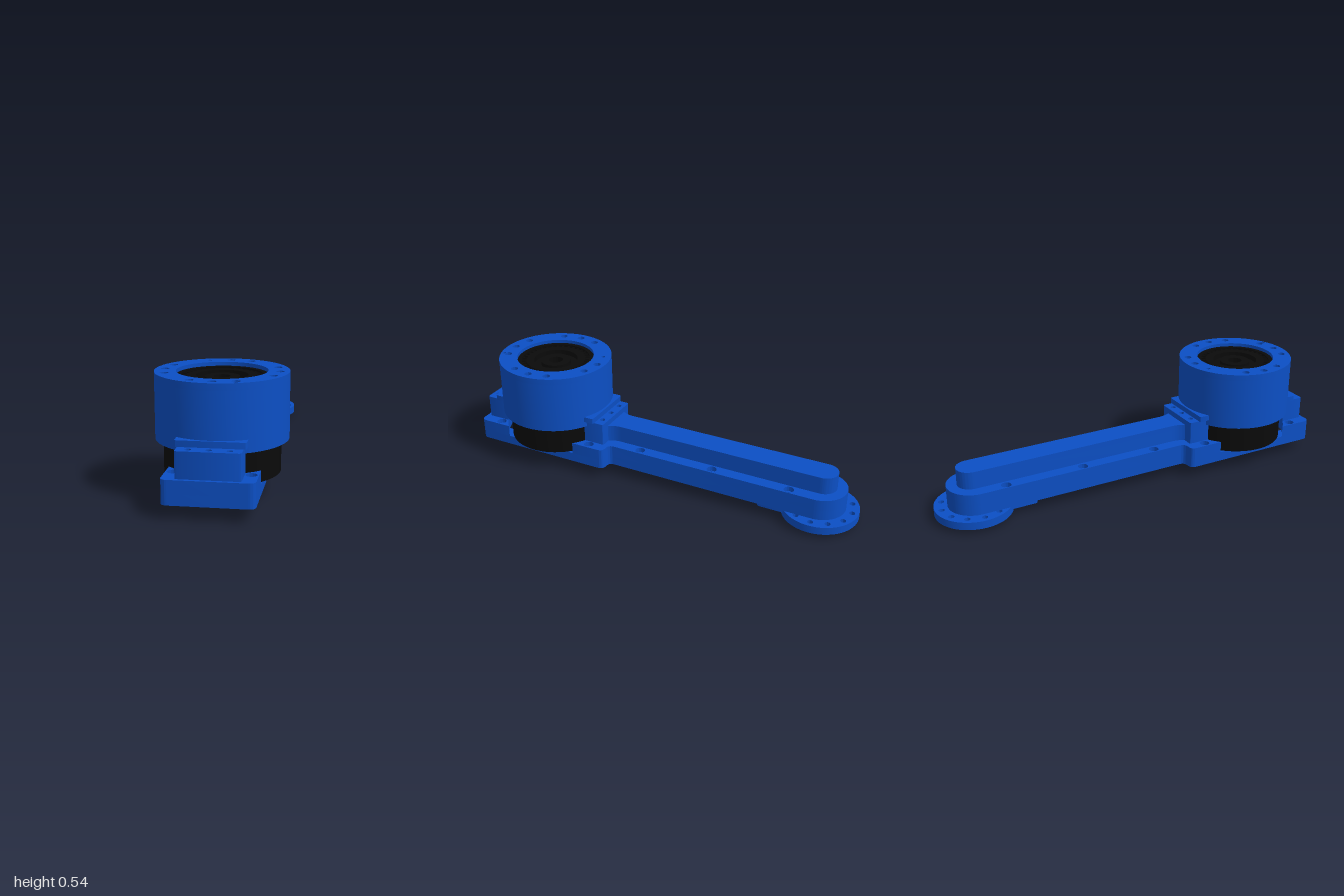
import * as THREE from 'three';
import { toCreasedNormals } from 'three/addons/utils/BufferGeometryUtils.js';

const blue = new THREE.MeshStandardMaterial({ color: 0x0c4fc4 });
const black = new THREE.MeshStandardMaterial({ color: 0x0a0a0a });
const MZ = 0.63;   // motor axis
const EZ = -0.815; // output axis
const CUT = 0.272; // clearance radius around the motor

function add(parent, name, geo, mat = blue) {
  const mesh = new THREE.Mesh(toCreasedNormals(geo, 0.6), mat);
  mesh.name = name;
  parent.add(mesh);
  return mesh;
}

// Extrude a plan shape (x, z) between two heights
function prism(shape, y0, y1) {
  return new THREE.ExtrudeGeometry(shape, { depth: y1 - y0, bevelEnabled: false, curveSegments: 32 })
    .rotateX(Math.PI / 2).translate(0, y1, 0);
}

function lathe(points) {
  return new THREE.LatheGeometry(points.map(p => new THREE.Vector2(...p)), 72);
}

function drill(shape, holes, r) {
  for (const [x, z] of holes) shape.holes.push(new THREE.Path().absarc(x, z, r, 0, Math.PI * 2, true));
  return shape;
}

function roundedRect(shape, w, z0, z1, r) {
  shape.moveTo(-w + r, z0);
  shape.lineTo(w - r, z0).quadraticCurveTo(w, z0, w, z0 + r);
  shape.lineTo(w, z1 - r).quadraticCurveTo(w, z1, w - r, z1);
  shape.lineTo(-w + r, z1).quadraticCurveTo(-w, z1, -w, z1 - r);
  shape.lineTo(-w, z0 + r).quadraticCurveTo(-w, z0, -w + r, z0);
  return shape;
}

function ring(outer, inner) {
  return drill(new THREE.Shape().absarc(0, 0, outer, 0, Math.PI * 2), [[0, 0]], inner);
}

function circleOf(n, r) {
  return Array.from({ length: n }, (_, i) => {
    const a = i * Math.PI * 2 / n;
    return [r * Math.cos(a), r * Math.sin(a)];
  });
}

// Outline from the base's left side round the arm to its right side
function armOutline(s) {
  s.lineTo(-0.19, 0.29).quadraticCurveTo(-0.19, 0.26, -0.16, 0.26);
  s.lineTo(-0.155, 0.26).quadraticCurveTo(-0.125, 0.26, -0.125, 0.23);
  s.lineTo(-0.125, -0.81).absarc(0, -0.81, 0.125, Math.PI, Math.PI * 2, false);
  s.lineTo(0.125, 0.23).quadraticCurveTo(0.125, 0.26, 0.155, 0.26);
  s.lineTo(0.16, 0.26).quadraticCurveTo(0.19, 0.26, 0.19, 0.29);
}

function frontOutline(s, z) {
  s.lineTo(0.19, z).lineTo(0.19, 0.97).quadraticCurveTo(0.19, 1, 0.16, 1);
  s.lineTo(-0.16, 1).quadraticCurveTo(-0.19, 1, -0.19, 0.97).lineTo(-0.19, z);
}

// Block with a concave inner face that hugs the motor, in motor coordinates
function saddle(w, out, r, corner = 0.012) {
  const a = Math.acos(w / r);
  const s = new THREE.Shape().moveTo(w, r * Math.sin(a));
  s.lineTo(w, out - corner).quadraticCurveTo(w, out, w - corner, out);
  s.lineTo(-w + corner, out).quadraticCurveTo(-w, out, -w, out - corner);
  s.lineTo(-w, r * Math.sin(a)).absarc(0, 0, r, Math.PI - a, a, true);
  return s;
}

export function createModel() {
  const model = new THREE.Group();
  model.name = 'actuatedArm';

  // Bottom layer of base and arm, with the pocket under the motor
  const floor = new THREE.Shape().moveTo(-0.19, MZ);
  armOutline(floor);
  frontOutline(floor, MZ);
  floor.holes.push(roundedRect(new THREE.Path(), 0.12, 0.33, 0.95, 0.03));
  add(model, 'baseFloor', prism(floor, 0.06, 0.107));

  // Upper layer, open at the sides around the motor
  const a = Math.acos(0.19 / CUT), h = CUT * Math.sin(a);
  const armScrews = [], frontScrews = [];
  for (const s of [-1, 1]) {
    for (const z of [-0.685, -0.295, 0.095]) armScrews.push([s * 0.097, z]);
    armScrews.push([s * 0.16, 0.355]);
    frontScrews.push([s * 0.16, 0.89]);
  }
  const back = new THREE.Shape().moveTo(-0.19, MZ - h);
  armOutline(back);
  back.lineTo(0.19, MZ - h).absarc(0, MZ, CUT, -a, a - Math.PI, true);
  add(model, 'armBody', prism(drill(back, armScrews, 0.024), 0.107, 0.165));
  const front = new THREE.Shape().moveTo(0.19, MZ + h);
  frontOutline(front, MZ + h);
  front.absarc(0, MZ, CUT, Math.PI - a, a, true);
  add(model, 'baseFront', prism(drill(front, frontScrews, 0.024), 0.107, 0.165));
  for (const [x, z] of [...armScrews, ...frontScrews]) {
    const head = drill(new THREE.Shape().absarc(x, z, 0.018, 0, Math.PI * 2), [[x, z]], 0.009);
    add(model, 'screwHead', prism(head, 0.107, 0.145));
  }

  // Raised rib along the arm, flaring into the rear mount
  const rib = new THREE.Shape().moveTo(-0.11, 0.31);
  rib.quadraticCurveTo(-0.065, 0.28, -0.065, 0.22).lineTo(-0.065, -0.82);
  rib.absarc(0, -0.82, 0.065, Math.PI, Math.PI * 2, false);
  rib.lineTo(0.065, 0.22).quadraticCurveTo(0.065, 0.28, 0.11, 0.31);
  add(model, 'armRib', prism(rib, 0.165, 0.25));

  // Stepped mounts before and behind the motor
  for (const [name, out, turn] of [['frontMount', 0.355, 0], ['rearMount', 0.345, Math.PI]]) {
    const mount = new THREE.Group();
    mount.name = name;
    mount.position.z = MZ;
    mount.rotation.y = turn;
    const holes = [-0.083, 0, 0.083].map(x => [x, out - 0.03]);
    add(mount, 'mountBlock', prism(saddle(0.133, out, CUT), 0.165, 0.25));
    add(mount, 'mountTop', prism(drill(saddle(0.133, out, CUT), holes, 0.013), 0.25, 0.278));
    add(mount, 'mountStep', prism(saddle(0.145, 0.295, 0.28), 0.278, 0.305));
    model.add(mount);
  }

  // Motor housing with a bolt circle in the rim
  const motor = new THREE.Group();
  motor.name = 'motor';
  motor.position.z = MZ;
  model.add(motor);
  add(motor, 'housing', prism(ring(0.285, 0.194), 0.25, 0.505));
  const bolts = [], pins = [];
  for (const deg of [0, 22.5, 67.5, 90, 112.5, 157.5, 180, 202.5, 270, 292.5, 337.5]) {
    const t = deg * Math.PI / 180;
    bolts.push([0.245 * Math.cos(t), 0.245 * Math.sin(t)]);
  }
  pins.push([-0.094, -0.226], [0.095, 0.25]);
  const rim = drill(drill(ring(0.285, 0.194), bolts, 0.018), pins, 0.01);
  add(motor, 'housingRim', prism(rim, 0.505, 0.535));

  // Motor and gear stage with a hollow shaft
  add(motor, 'motorCore', lathe([
    [0.035, 0.115], [0.07, 0.115], [0.07, 0.107], [0.25, 0.107], [0.25, 0.25], [0.194, 0.25],
    [0.194, 0.518], [0.172, 0.518], [0.172, 0.5], [0.15, 0.5], [0.15, 0.515], [0.11, 0.515],
    [0.11, 0.49], [0.075, 0.49], [0.075, 0.51], [0.035, 0.51], [0.035, 0.115],
  ]), black);
  for (const [x, z] of circleOf(36, 0.161)) {
    const tooth = add(motor, 'gearTooth', new THREE.BoxGeometry(0.022, 0.012, 0.01), black);
    tooth.position.set(x, 0.506, z);
    tooth.rotation.y = -Math.atan2(z, x);
  }

  // Output flange under the end of the arm
  const output = new THREE.Group();
  output.name = 'outputFlange';
  output.position.z = EZ;
  model.add(output);
  const disc = new THREE.Shape().absarc(0, 0, 0.184, 0, Math.PI * 2);
  add(output, 'flangeDisc', prism(drill(disc, circleOf(12, 0.153), 0.014), 0.022, 0.06));
  add(output, 'outputRing', prism(drill(ring(0.133, 0.07), circleOf(12, 0.1), 0.009), 0, 0.022));
  add(output, 'outputHub', lathe([
    [0, 0.016], [0.033, 0.016], [0.033, 0.005], [0.05, 0.005], [0.05, 0.014], [0.07, 0.014], [0.07, 0.022],
  ]));

  // Mounting pad beside the flange
  const pad = roundedRect(new THREE.Shape(), 0.11, -0.76, -0.535, 0.02);
  add(model, 'flangePad', prism(drill(pad, [[-0.08, -0.565], [0.08, -0.565]], 0.012), 0.038, 0.06));

  return model;
}
